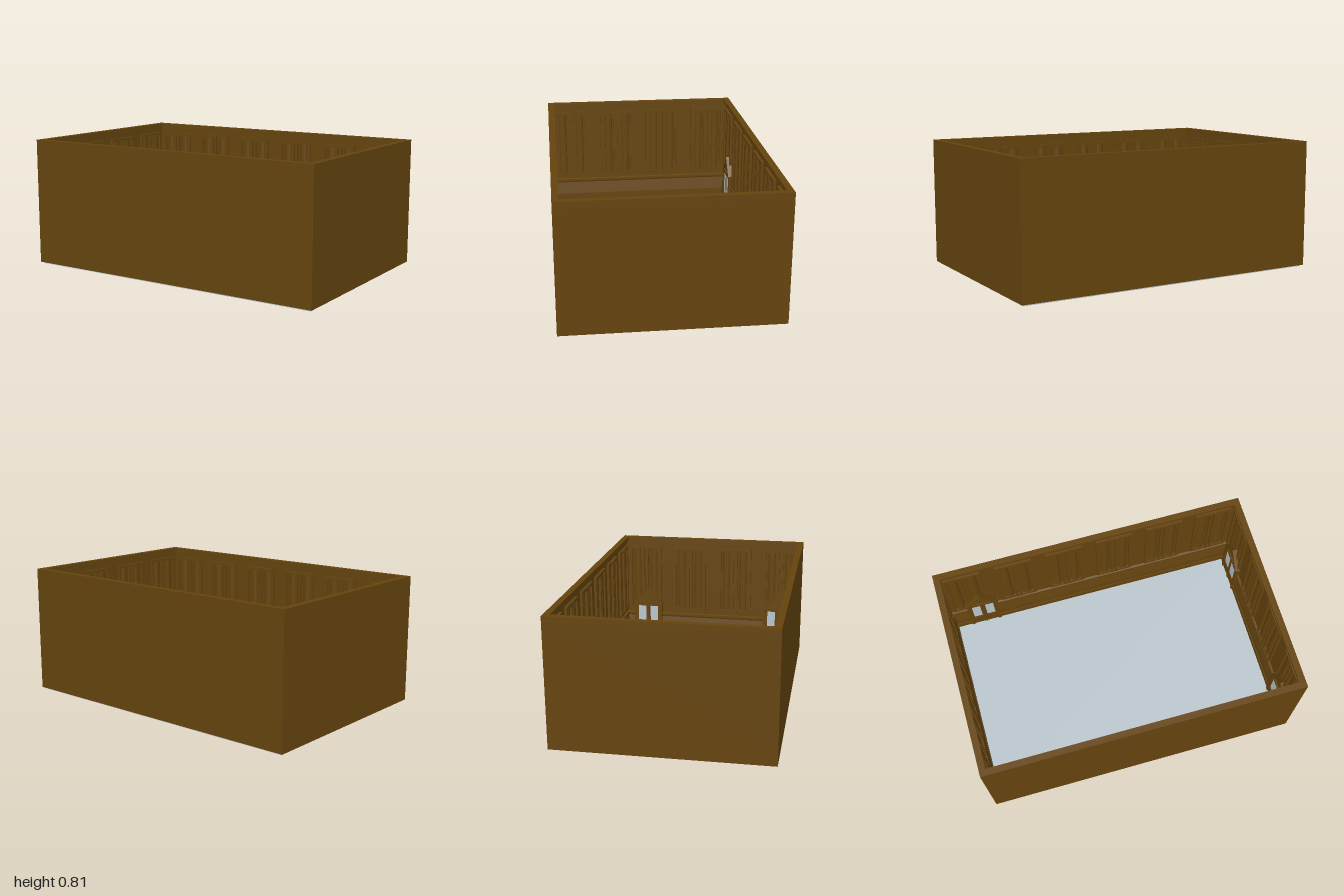
import * as THREE from 'three';

const HX = 1, HZ = 0.66, RIM = 0.04;

export function createModel() {
  const model = new THREE.Group();
  model.name = 'panelledRoom';
  const wood = new THREE.MeshStandardMaterial({ color: 0x65440e });
  wood.name = 'brown wood';
  const pale = new THREE.MeshStandardMaterial({ color: 0xbac6cd });
  pale.name = 'pale blue grey';

  const add = (parent, name, geometry, material, x = 0, y = 0, z = 0) => {
    const mesh = new THREE.Mesh(geometry, material);
    mesh.name = name;
    mesh.position.set(x, y, z);
    parent.add(mesh);
    return mesh;
  };
  // Box given by its limits
  const block = (parent, name, x0, x1, y0, y1, z0, z1, material = wood) =>
    add(parent, name, new THREE.BoxGeometry(x1 - x0, y1 - y0, z1 - z0), material,
      (x0 + x1) / 2, (y0 + y1) / 2, (z0 + z1) / 2);

  // Rectangular ring running round the whole room
  const rect = (path, a, b) => path.moveTo(-a, -b).lineTo(a, -b).lineTo(a, b).lineTo(-a, b).closePath();
  const ring = (name, depth, y0, y1) => {
    const shape = rect(new THREE.Shape(), HX, HZ);
    shape.holes.push(rect(new THREE.Path(), HX - depth, HZ - depth));
    const g = new THREE.ExtrudeGeometry(shape, { depth: y1 - y0, bevelEnabled: false });
    g.rotateX(-Math.PI / 2);
    add(model, name, g, wood, 0, y0, 0);
  };

  block(model, 'floor', -0.985, 0.985, 0, 0.015, -0.65, 0.65, pale);
  ring('baseboard', RIM, 0.008, 0.06);
  ring('wainscot', 0.034, 0.06, 0.11);
  ring('wall', 0.016, 0.11, 0.77);
  ring('lowerCornice', 0.03, 0.77, 0.79);
  ring('rim', RIM, 0.79, 0.81);

  // Tall double panel, standing on the wall plane z = 0 and facing +z
  const panel = (parent, x) => {
    const g = new THREE.Group();
    g.name = 'wallPanel';
    g.position.set(x, 0, 0.015);
    parent.add(g);
    const y0 = 0.26, y1 = 0.745, w = 0.12;
    for (const s of [-1, 1]) {
      block(g, 'panelStile', s * 0.11 - 0.01, s * 0.11 + 0.01, y0, y1, 0, 0.018);
      block(g, 'panelMullion', s * 0.014 - 0.008, s * 0.014 + 0.008, y0, y1, 0, 0.021);
      const column = new THREE.CylinderGeometry(0.026, 0.026, y1 - y0 - 0.04, 12, 1, true, -Math.PI / 2, Math.PI);
      column.scale(1, 1, 0.6);
      add(g, 'panelColumn', column, wood, s * 0.061, (y0 + y1) / 2, 0);
    }
    block(g, 'panelHead', -w, w, y1 - 0.02, y1, 0, 0.019);
    block(g, 'panelSill', -w, w, y0, y0 + 0.02, 0, 0.019);
  };

  // Gabled double door with glazed leaves
  const door = (parent, x) => {
    const g = new THREE.Group();
    g.name = 'door';
    g.position.set(x, 0, 0);
    parent.add(g);
    block(g, 'doorLeaves', -0.095, 0.095, 0.015, 0.3, 0.01, 0.041);
    for (const s of [-1, 1]) {
      block(g, 'doorPost', s * 0.095 - 0.01, s * 0.095 + 0.01, 0.015, 0.3, 0.01, 0.047);
      block(g, 'doorPane', s * 0.045 - 0.028, s * 0.045 + 0.028, 0.13, 0.285, 0.038, 0.044, pale);
      block(g, 'doorLowerPanel', s * 0.045 - 0.028, s * 0.045 + 0.028, 0.035, 0.11, 0.038, 0.045);
    }
    block(g, 'doorMeetingStile', -0.006, 0.006, 0.015, 0.3, 0.03, 0.046);
    block(g, 'doorLintel', -0.11, 0.11, 0.295, 0.315, 0.01, 0.049);
    const tri = (path, w, a, b) => path.moveTo(-w, a).lineTo(w, a).lineTo(0, b).closePath();
    const gable = new THREE.ExtrudeGeometry(tri(new THREE.Shape(), 0.11, 0.31, 0.43), { depth: 0.032, bevelEnabled: false });
    add(g, 'doorGable', gable, wood, 0, 0, 0.01);
    const frame = tri(new THREE.Shape(), 0.11, 0.31, 0.43);
    frame.holes.push(tri(new THREE.Path(), 0.072, 0.322, 0.402));
    const trim = new THREE.ExtrudeGeometry(frame, { depth: 0.01, bevelEnabled: false });
    add(g, 'gableTrim', trim, wood, 0, 0, 0.04);
  };

  // One wall's fittings: local +z points into the room
  const fitWall = (name, angle, distance, length, count, doors) => {
    const turn = new THREE.Group();
    turn.name = name;
    turn.rotation.y = angle;
    model.add(turn);
    const wall = new THREE.Group();
    wall.position.z = -distance;
    turn.add(wall);
    for (let i = 0; i < count; i++) panel(wall, (i - (count - 1) / 2) / 3);
    // Sloped chair rail above the wainscot
    const profile = new THREE.Shape();
    profile.moveTo(0.01, 0.1).lineTo(0.039, 0.1).lineTo(0.039, 0.12).lineTo(0.026, 0.205)
      .lineTo(0.03, 0.215).lineTo(0.03, 0.23).lineTo(0.01, 0.235).closePath();
    const rail = new THREE.ExtrudeGeometry(profile, { depth: length - 0.04, bevelEnabled: false });
    rail.rotateY(-Math.PI / 2);
    add(wall, 'chairRail', rail, wood, length / 2 - 0.02, 0, 0);
    doors.forEach((x) => door(wall, x));
  };
  fitWall('backWallFittings', 0, HZ, 2 * HX, 6, [-0.76]);
  fitWall('frontWallFittings', Math.PI, HZ, 2 * HX, 6, []);
  fitWall('rightWallFittings', Math.PI / 2, HX, 2 * HZ, 4, []);
  fitWall('leftWallFittings', -Math.PI / 2, HX, 2 * HZ, 4, [-0.48, 0.49]);

  return model;
}
